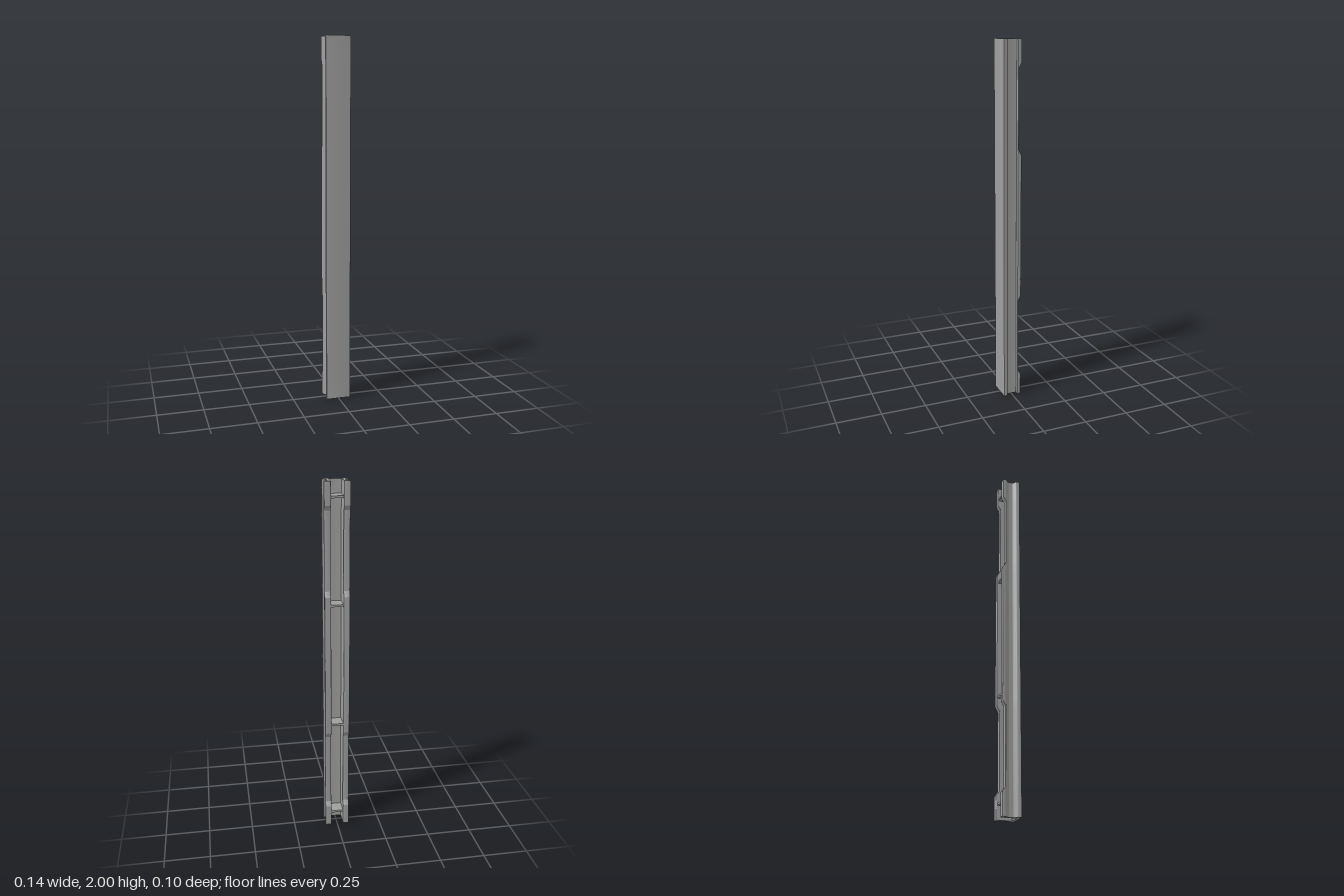
import * as THREE from 'three';
import { toCreasedNormals } from 'three/addons/utils/BufferGeometryUtils.js';

const LIP = -0.031; // inner face of the back lips
const HEIGHT = 2;

// Cross-section corners: x, z, fillet radius
const corners = [
  [-0.069, 0.05, 0.002], [0.068, 0.05, 0.002], [0.068, 0.028, 0.004], [0.048, 0.028, 0.003],
  [0.048, LIP, 0.003], [0.068, LIP, 0.004], [0.068, -0.052, 0.005], [0.033, -0.052, 0.005],
  [0.033, 0.034, 0.003], [-0.035, 0.034, 0.003], [-0.035, -0.052, 0.005], [-0.069, -0.052, 0.005],
  [-0.069, LIP, 0.005], [-0.05, -0.016, 0.006], [-0.05, 0.015, 0.006], [-0.069, 0.03, 0.005],
];

// Heights, with the share of lip depth left there (1 = pad, less = recess)
const lower = [[0, 1], [0.122, 1], [0.148, 0.2], [0.572, 0.2], [0.602, 1]];
const stations = [...lower, ...lower.map(([y, k]) => [HEIGHT - y, k]).reverse()];

// Round every corner with a short quadratic curve
function roundedOutline(points) {
  const outline = [];
  points.forEach(([x, z, r], i) => {
    const p = new THREE.Vector2(x, z);
    const towards = (q) => new THREE.Vector2(q[0], q[1]).sub(p).setLength(r).add(p);
    const from = towards(points[(i + points.length - 1) % points.length]);
    const to = towards(points[(i + 1) % points.length]);
    outline.push(...new THREE.QuadraticBezierCurve(from, p, to).getPoints(4));
  });
  return outline;
}

// Loft the outline through the stations, flattening the lips at the recesses
function railGeometry() {
  const outline = roundedOutline(corners);
  const n = outline.length;
  const positions = [];
  const index = [];
  for (const [y, k] of stations) {
    for (const p of outline) {
      positions.push(p.x, y, p.y < LIP ? LIP + (p.y - LIP) * k : p.y);
    }
  }
  for (let s = 0; s < stations.length - 1; s++) {
    for (let i = 0; i < n; i++) {
      const j = (i + 1) % n;
      const a = s * n + i, b = s * n + j, c = b + n, d = a + n;
      index.push(a, b, d, b, c, d);
    }
  }
  // End caps
  const faces = THREE.ShapeUtils.triangulateShape(outline.map((p) => new THREE.Vector2(p.x, -p.y)), []);
  const top = (stations.length - 1) * n;
  for (const [a, b, c] of faces) {
    index.push(top + a, top + b, top + c, a, c, b);
  }
  const geometry = new THREE.BufferGeometry();
  geometry.setAttribute('position', new THREE.Float32BufferAttribute(positions, 3));
  geometry.setIndex(index);
  return toCreasedNormals(geometry, 0.5);
}

export function createModel() {
  const grey = new THREE.MeshStandardMaterial({ color: 0xa0a0a0 });
  grey.name = 'grey';
  const model = new THREE.Group();
  model.name = 'channelRail';

  const rail = new THREE.Mesh(railGeometry(), grey);
  rail.name = 'rail';
  model.add(rail);

  // Cross ribs inside the channel
  const ribGeometry = new THREE.BoxGeometry(0.07, 0.012, 0.08);
  [0.08, 0.65, HEIGHT - 0.65, HEIGHT - 0.08].forEach((y, i) => {
    const rib = new THREE.Mesh(ribGeometry, grey);
    rib.name = `rib${i + 1}`;
    rib.position.set(-0.001, y, -0.005);
    model.add(rib);
  });
  return model;
}
